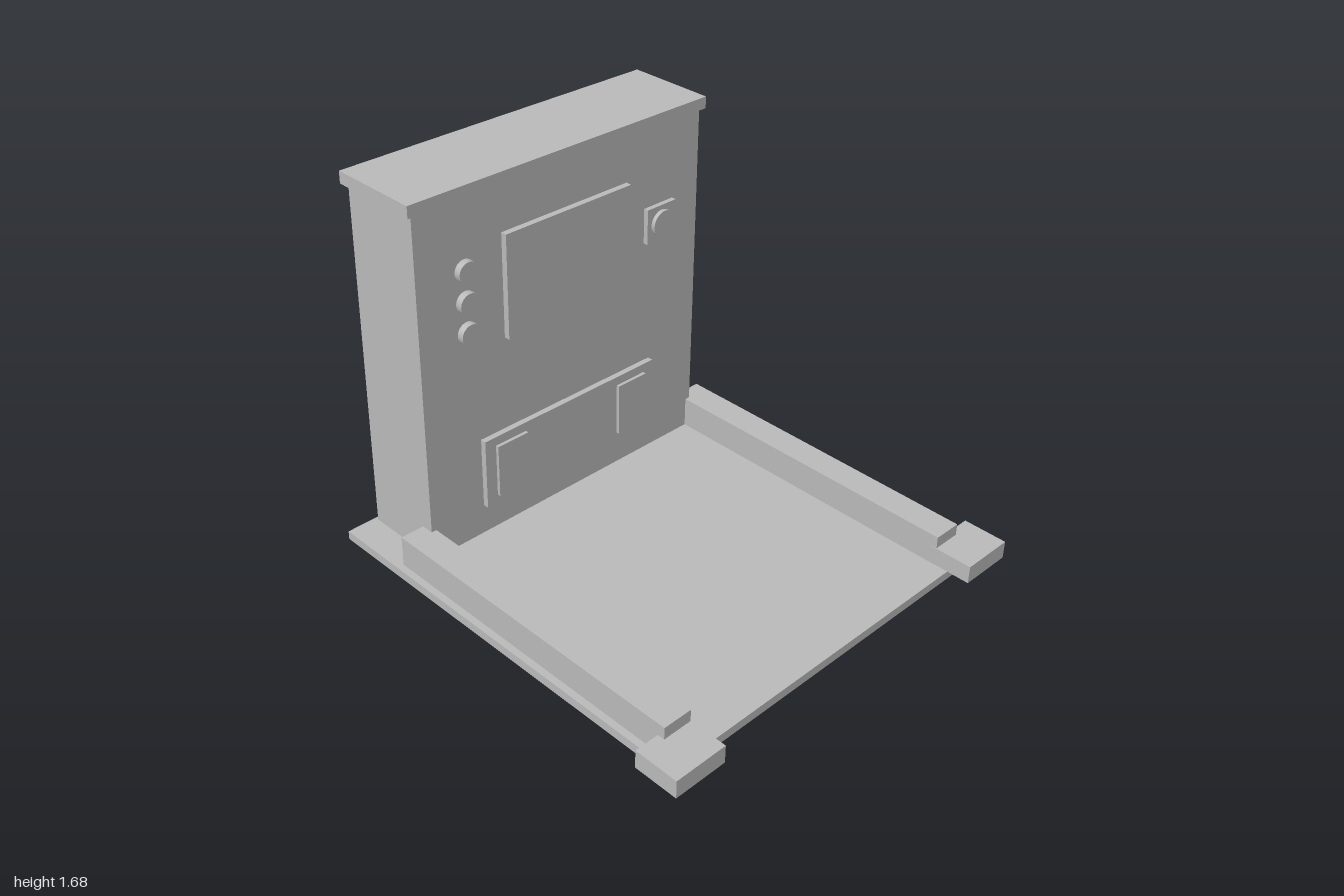
import * as THREE from 'three';

export function createModel() {
  const grey = new THREE.MeshStandardMaterial({ color: 0xb8b8b8 });
  grey.name = 'plain grey';

  const model = new THREE.Group();
  model.name = 'consoleStand';

  // Everything is built square, then leaned and turned slightly as one
  const body = new THREE.Group();
  body.name = 'leaningAssembly';
  body.rotation.set(0.0335, 0.0145, 0, 'YXZ');
  body.position.set(-0.015, 0.032, -0.055);
  model.add(body);

  const add = (name, geometry, x, y, z) => {
    const mesh = new THREE.Mesh(geometry, grey);
    mesh.name = name;
    mesh.position.set(x, y, z);
    body.add(mesh);
    return mesh;
  };

  // Box given by its limits on each axis
  const box = (name, x0, x1, y0, y1, z0, z1) =>
    add(name, new THREE.BoxGeometry(x1 - x0, y1 - y0, z1 - z0),
      (x0 + x1) / 2, (y0 + y1) / 2, (z0 + z1) / 2);

  const face = -0.546; // front of the cabinet

  // Plate on the cabinet front, given by centre, size and the depth it reaches
  const plate = (name, x, y, w, h, depth) =>
    box(name, x - w / 2, x + w / 2, y - h / 2, y + h / 2, face - 0.01, face + depth);

  // Round control on the cabinet front
  const button = (name, x, y, r, depth) => {
    const geometry = new THREE.CylinderGeometry(r, r, depth + 0.01, 32);
    geometry.rotateX(Math.PI / 2);
    add(name, geometry, x, y, face + (depth - 0.01) / 2);
  };

  // Floor, cabinet and cap
  box('floorPlate', -0.87, 0.87, 0, 0.039, -0.932, 0.932);
  box('cabinet', -0.733, 0.733, 0.039, 1.57, -0.915, face);
  box('cabinetCap', -0.756, 0.756, 1.567, 1.618, -0.933, -0.532);

  // Side rails and front feet
  for (const [side, s] of [['left', 1], ['right', -1]]) {
    const limits = (a, b) => (s > 0 ? [a, b] : [-b, -a]);
    box(side + 'Rail', ...limits(0.71, 0.84), 0.039, 0.175, -0.602, 0.868);
    box(side + 'Foot', ...limits(0.708, 0.948), 0.042, 0.122, 0.837, 1.035);
  }

  // Screen
  plate('screen', 0, 1.138, 0.65, 0.455, 0.027);

  // Column of buttons
  for (const y of [1.005, 1.138, 1.271]) button('roundButton', -0.507, y, 0.046, 0.03);

  // Dial on its plate
  plate('dialPlate', 0.507, 1.138, 0.16, 0.157, 0.022);
  button('dial', 0.507, 1.138, 0.058, 0.04);

  // Lower panel with two pads
  plate('lowerPanel', 0, 0.335, 0.93, 0.32, 0.026);
  for (const x of [-0.333, 0.333]) plate('panelPad', x, 0.335, 0.157, 0.24, 0.041);

  return model;
}
